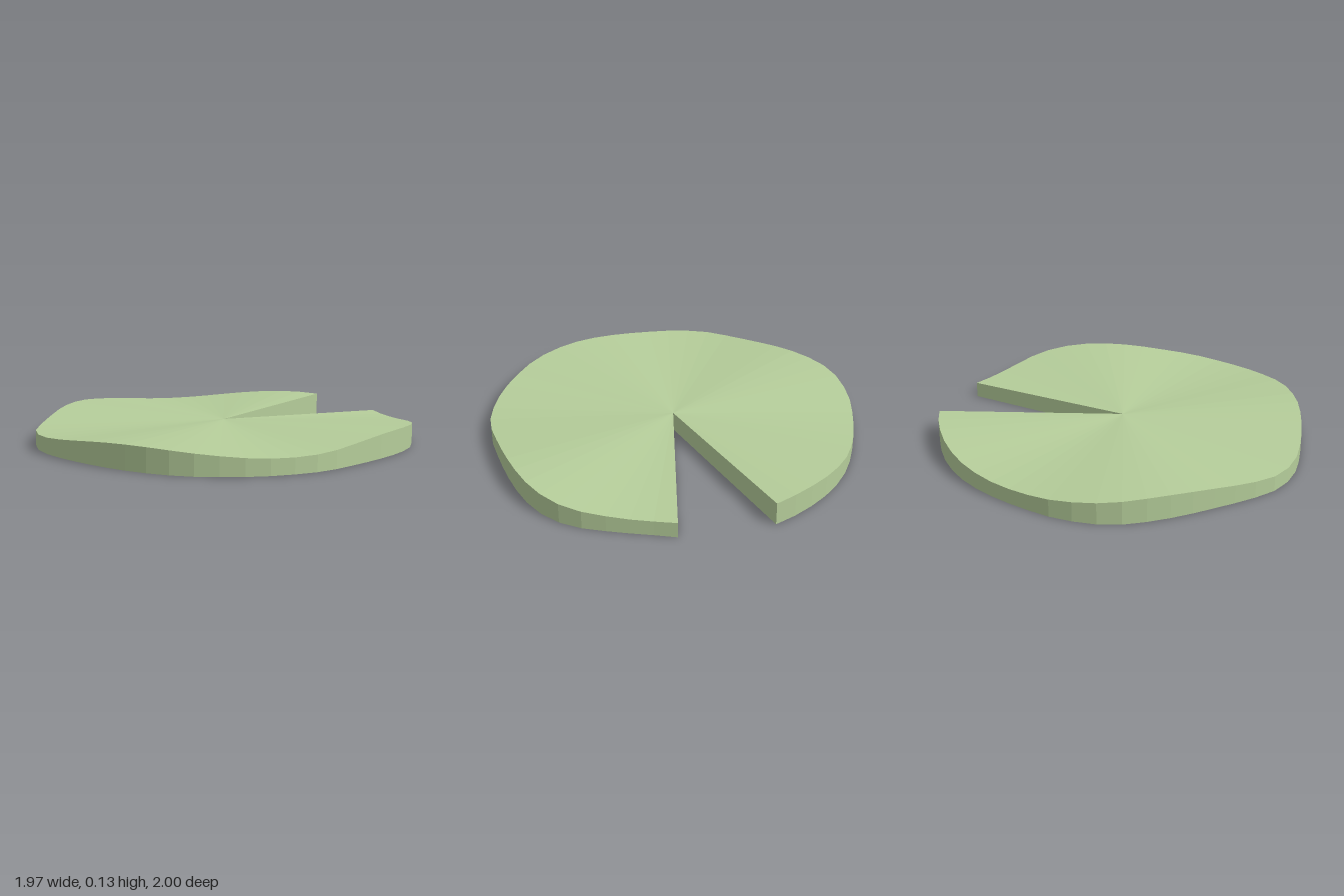
import * as THREE from 'three';

// Rim radii, evenly spaced counter-clockwise from one side of the notch to the other
const RADII = [
  1.01, 1.006, 1.003, 1.002, 1.0, 0.997, 0.991, 0.987, 0.986, 0.992, 1.005, 1.014,
  1.02, 1.014, 0.996, 0.98, 0.97, 0.968, 0.979, 1.0, 1.024, 1.027, 1.016, 0.997,
  0.983, 0.976, 0.977, 0.984, 0.992, 1.002, 1.007, 1.006, 1.008, 1.008, 1.005, 1.002,
  0.99, 0.975, 0.972, 0.978, 0.992, 1.01, 1.024, 1.026, 1.01, 0.985, 0.97, 0.966, 0.979,
];
const NOTCH = 0.25;   // half angle of the notch
const HEIGHT = 0.105; // height at the middle
const WAVE = 0.023;   // rise and fall of the rim
const CENTRE = [0.003, 0.013];

// Flat-faced geometry from a list of convex corner loops
function facets(loops) {
  const positions = [];
  for (const loop of loops) {
    for (let i = 1; i < loop.length - 1; i++) positions.push(...loop[0], ...loop[i], ...loop[i + 1]);
  }
  const geometry = new THREE.BufferGeometry();
  geometry.setAttribute('position', new THREE.Float32BufferAttribute(positions, 3));
  geometry.computeVertexNormals();
  return geometry;
}

export function createModel() {
  const leafGreen = new THREE.MeshStandardMaterial({ color: 0xb5cd9a });
  leafGreen.name = 'leafGreen';

  const group = new THREE.Group();
  group.name = 'lilyPad';
  const add = (name, loops) => {
    const mesh = new THREE.Mesh(facets(loops), leafGreen);
    mesh.name = name;
    group.add(mesh);
  };

  // Rim corners, with four gentle waves along the upper edge
  const [cx, cz] = CENTRE;
  const n = RADII.length - 1;
  const upper = [], lower = [];
  RADII.forEach((r, i) => {
    const a = NOTCH + (i / n) * (2 * Math.PI - 2 * NOTCH);
    const x = cx + r * Math.cos(a), z = cz - r * Math.sin(a);
    upper.push([x, HEIGHT + WAVE * Math.sin(4 * a), z]);
    lower.push([x, 0, z]);
  });
  const middle = [cx, HEIGHT, cz], base = [cx, 0, cz];

  // Top fan, flat underside and outer wall
  const top = [], bottom = [], wall = [];
  for (let i = 0; i < n; i++) {
    top.push([middle, upper[i], upper[i + 1]]);
    bottom.push([base, lower[i + 1], lower[i]]);
    wall.push([lower[i], lower[i + 1], upper[i + 1], upper[i]]);
  }
  add('padTop', top);
  add('padUnderside', bottom);
  add('padRim', wall);

  // The two cut sides of the notch
  add('notchSides', [
    [base, lower[0], upper[0], middle],
    [lower[n], base, middle, upper[n]],
  ]);
  return group;
}
